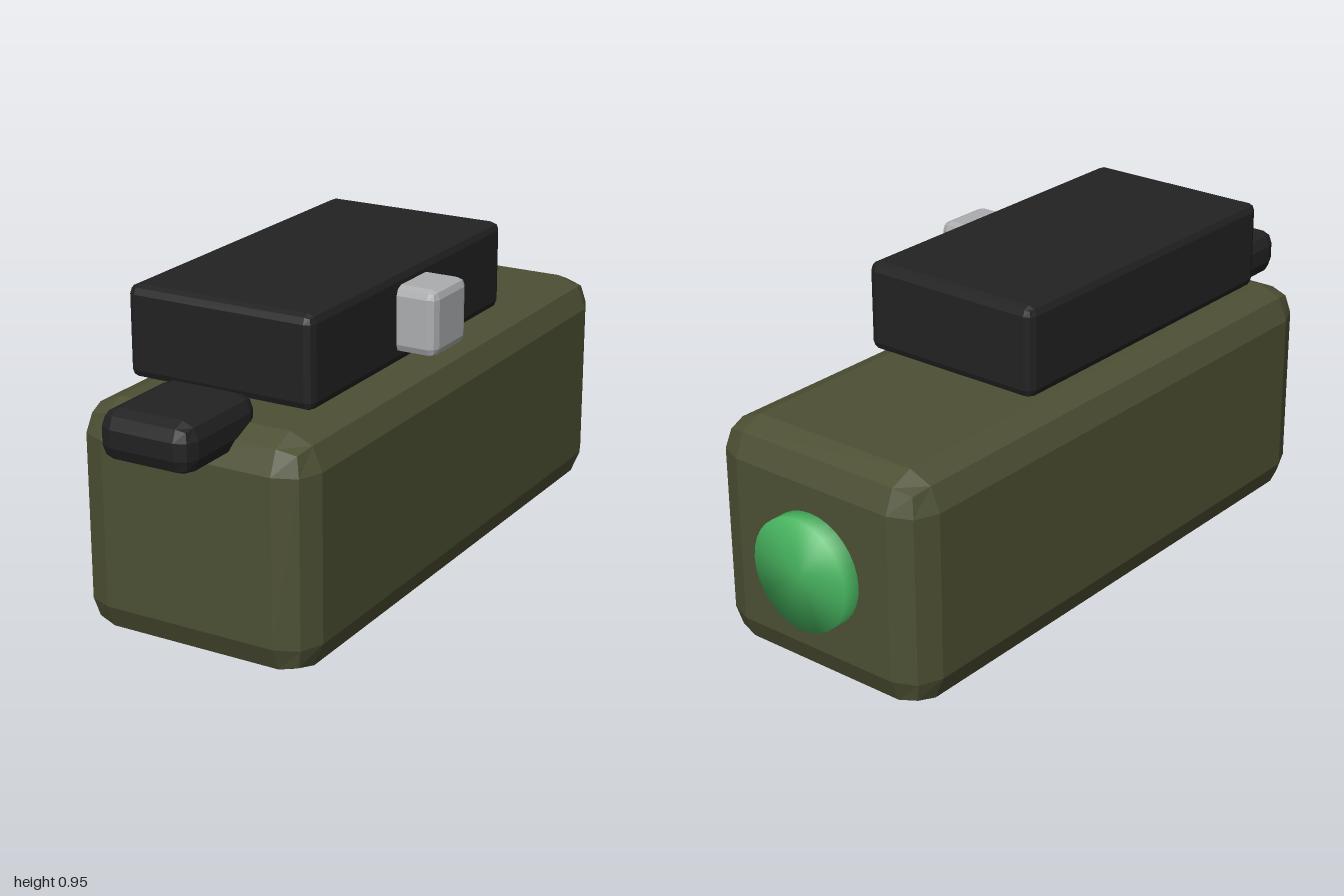
import * as THREE from 'three';
import { RoundedBoxGeometry } from 'three/addons/geometries/RoundedBoxGeometry.js';
import { mergeVertices } from 'three/addons/utils/BufferGeometryUtils.js';

const flatMat = (name, color) => {
  const m = new THREE.MeshStandardMaterial({ color });
  m.name = name;
  return m;
};

// Faceted bevelled box given by its min and max corners
function bevelBox(name, min, max, radius, material) {
  const size = max.map((v, i) => v - min[i]);
  const geo = new RoundedBoxGeometry(...size, 1, radius);
  geo.computeVertexNormals(); // unshared vertices, so every facet stays flat
  const mesh = new THREE.Mesh(geo, material);
  mesh.name = name;
  mesh.position.set(...max.map((v, i) => (v + min[i]) / 2));
  return mesh;
}

export function createModel() {
  const olive = flatMat('olive', 0x4d5034);
  const black = flatMat('black', 0x222222);
  const grey = flatMat('lightGrey', 0xacadaf);
  const green = flatMat('lensGreen', 0x48b660);

  const model = new THREE.Group();
  model.name = 'sightingDevice';

  model.add(
    bevelBox('body', [-0.38, 0, -0.95], [0.33, 0.665, 0.82], 0.095, olive),
    bevelBox('topHousing', [-0.307, 0.69, -0.405], [0.258, 0.948, 0.655], 0.025, black),
    bevelBox('sideKnob', [0.185, 0.725, 0.03], [0.375, 0.912, 0.218], 0.025, grey),
    bevelBox('frontTab', [-0.167, 0.595, 0.673], [0.115, 0.735, 1.0], 0.046, black),
  );

  // Round rear lens, with normals shared over the rim for a soft domed look
  let disc = new THREE.CylinderGeometry(0.16, 0.16, 0.1, 32);
  disc.deleteAttribute('uv');
  disc.deleteAttribute('normal');
  disc = mergeVertices(disc);
  disc.computeVertexNormals();
  const lens = new THREE.Mesh(disc, green);
  lens.name = 'rearLens';
  lens.rotation.x = -Math.PI / 2;
  lens.position.set(-0.025, 0.335, -0.95);
  model.add(lens);

  return model;
}
